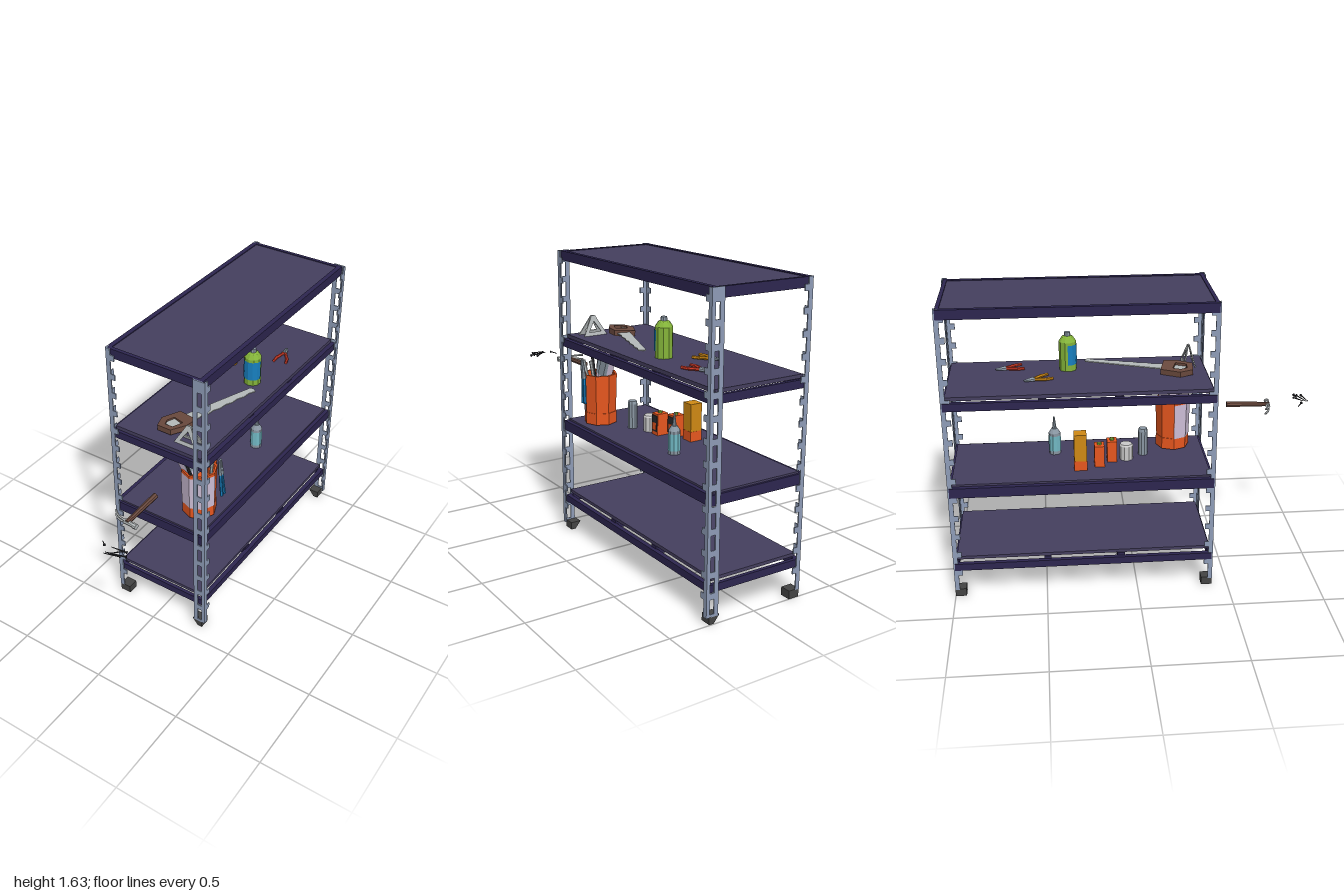
import * as THREE from 'three';

const mat = (color) => new THREE.MeshStandardMaterial({ color, flatShading: true, side: THREE.DoubleSide });
const M = {
  board: mat(0x453f5f), beam: mat(0x2d2650), post: mat(0x8f9db8), foot: mat(0x444444), steel: mat(0xb5babb),
  dark: mat(0x2a2a2e), wood: mat(0x6b4a3e), orange: mat(0xe8571f), amber: mat(0xd08a14), lilac: mat(0xcfc0d8),
  blue: mat(0x1880c0), green: mat(0x85b53a), grey: mat(0x8a97a3), white: mat(0xd5d8d8), teal: mat(0x72b9c4), red: mat(0xd03a26),
};

export function createModel() {
  const root = new THREE.Group();
  const add = (name, geo, m, x = 0, y = 0, z = 0, parent = root) => {
    const mesh = new THREE.Mesh(geo, m);
    mesh.name = name;
    mesh.position.set(x, y, z);
    parent.add(mesh);
    return mesh;
  };
  const group = (name, x = 0, y = 0, z = 0) => {
    const g = new THREE.Group();
    g.name = name;
    g.position.set(x, y, z);
    root.add(g);
    return g;
  };
  // Box given by its min and max corners
  const span = (name, m, x0, x1, y0, y1, z0, z1, parent = root) =>
    add(name, new THREE.BoxGeometry(x1 - x0, y1 - y0, z1 - z0), m, (x0 + x1) / 2, (y0 + y1) / 2, (z0 + z1) / 2, parent);
  const lathe = (pts, n = 10) => new THREE.LatheGeometry(pts.map((p) => new THREE.Vector2(...p)), n);
  const poly = (pts) => new THREE.Shape(pts.map((p) => new THREE.Vector2(...p)));
  const extrude = (shape, depth) => new THREE.ExtrudeGeometry(shape, { depth, bevelEnabled: false });
  // Thin rod between two points
  const rod = (name, m, a, b, r0, r1, parent = root, sides = 6) => {
    const p = new THREE.Vector3(...a), q = new THREE.Vector3(...b);
    const mesh = add(name, new THREE.CylinderGeometry(r1, r0, p.distanceTo(q), sides), m, 0, 0, 0, parent);
    mesh.position.copy(p).lerp(q, 0.5);
    mesh.quaternion.setFromUnitVectors(new THREE.Vector3(0, 1, 0), q.sub(p).normalize());
    return mesh;
  };

  // Slotted angle posts: s is the direction from the outer corner inward
  const Y0 = 0.04, Y1 = 1.63, slots = 14, pitch = 0.11, slotH = 0.078;
  const closedPlate = (s) => {
    const shape = poly([[0, Y0], [s * 0.07, Y0], [s * 0.07, Y1], [0, Y1]]);
    for (let i = 0; i < slots; i++) {
      const y = 0.055 + i * pitch;
      shape.holes.push(poly([[s * 0.02, y], [s * 0.02, y + slotH], [s * 0.045, y + slotH], [s * 0.045, y]]));
    }
    return extrude(shape, 0.006);
  };
  const combPlate = (s) => {
    const pts = [[0, Y0], [s * 0.025, Y0]];
    for (let i = 0; i < slots; i++) {
      const y = 0.055 + i * pitch;
      pts.push([s * 0.025, y + slotH], [s * 0.048, y + slotH], [s * 0.048, y + pitch], [s * 0.025, y + pitch]);
    }
    pts.push([s * 0.025, Y1], [0, Y1]);
    return extrude(poly(pts), 0.006);
  };
  const zF = 0.415, zB = -1.0;
  for (const sx of [-1, 1]) for (const front of [true, false]) {
    const post = group('post');
    const z = front ? zF : zB, s = front ? -1 : 1;
    add('endPlate', sx > 0 ? closedPlate(-1) : combPlate(1), M.post, sx * 0.29, 0, front ? z - 0.006 : z, post);
    add('sidePlate', combPlate(s).rotateY(-Math.PI / 2), M.post, sx > 0 ? 0.29 : -0.284, 0, z, post);
    // Rubber foot, chamfered under the left posts
    const prof = sx > 0 ? [[0.212, 0.045], [0.272, 0.045], [0.272, 0.003], [0.245, 0.003]]
      : [[-0.287, 0.045], [-0.225, 0.045], [-0.225, 0], [-0.287, 0]];
    add('foot', extrude(poly(prof), 0.06), M.foot, 0, 0, front ? zF - 0.06 : zB, post);
  }

  // Shelves: rails, cross bars and board
  const levels = [[0.165, 0.205, 0.22, 0.238], [0.605, 0.66, 0.652, 0.67], [1.095, 1.138, 1.142, 1.162], [1.577, 1.628, 1.606, 1.624]];
  for (const [b0, b1, t0, t1] of levels) {
    const shelf = group('shelf');
    const x0 = -0.295, x1 = 0.273, z0 = -0.992, z1 = 0.408;
    span('sideRail', M.beam, x0, x0 + 0.026, b0, b1, z0, z1, shelf);
    span('sideRail', M.beam, x1 - 0.026, x1, b0, b1, z0, z1, shelf);
    span('endRail', M.beam, x0, x1, b0, b1, z0, z0 + 0.02, shelf);
    span('endRail', M.beam, x0, x1, b0, b1, z1 - 0.02, z1, shelf);
    for (const z of [-0.49, -0.09]) span('crossBar', M.beam, x0 + 0.02, x1 - 0.02, b0 + 0.008, t0, z - 0.02, z + 0.02, shelf);
    span('board', M.board, -0.268, 0.25, t0, t1, -0.98, 0.395, shelf);
  }

  // Green bottle with wrapped label and cap
  const bottle = group('bottle', 0.1, 1.162, -0.345);
  add('bottleBody', lathe([[0, 0], [0.047, 0], [0.047, 0.16], [0.03, 0.185], [0.02, 0.19], [0, 0.19]]), M.green, 0, 0, 0, bottle);
  add('bottleCap', new THREE.CylinderGeometry(0.016, 0.018, 0.02, 8), M.grey, 0, 0.2, 0, bottle);
  add('bottleLabel', new THREE.CylinderGeometry(0.049, 0.049, 0.11, 6, 1, true, -Math.PI / 2, Math.PI), M.blue, 0, 0.09, 0, bottle);

  // Hand saw lying on the third shelf
  const saw = group('saw', 0, 1.185, 0.22);
  saw.rotation.y = -0.33;
  const blade = [[-0.035, -0.06], [0.045, -0.06]];
  for (let i = 0; i <= 12; i++) blade.push([0.045 - i * 0.0015 - (i % 2) * 0.008, 0.0 + i * 0.041]);
  blade.push([0.0, 0.5], [-0.015, 0.49]);
  add('sawBlade', extrude(poly(blade), 0.006).rotateX(-Math.PI / 2), M.steel, 0, -0.003, 0, saw);
  const grip = poly([[-0.06, 0.06], [0.06, 0.07], [0.075, 0.0], [0.055, -0.09], [-0.03, -0.11], [-0.075, -0.05]]);
  grip.holes.push(poly([[-0.03, 0.0], [-0.035, -0.045], [-0.01, -0.075], [0.035, -0.06], [0.04, 0.0]]));
  const sawHandle = add('sawHandle', extrude(grip, 0.03).rotateX(-Math.PI / 2), M.wood, 0, -0.016, 0, saw);
  sawHandle.rotation.z = 0.08;

  // Folding triangle square, standing as a tent
  for (const s of [-1, 1]) {
    const tri = poly([[-0.072, 0], [0.072, 0], [0.012, 0.11], [-0.012, 0.11]]);
    tri.holes.push(poly([[-0.038, 0.02], [0, 0.08], [0.038, 0.02]]));
    const plate = add('triangleSquare', extrude(tri, 0.006), M.steel, 0.132, 1.162, 0.312 + s * 0.03);
    plate.rotation.x = -s * 0.25;
  }

  // Pliers lying flat
  const pliers = (m, x, y, z, turn) => {
    const g = group('pliers', x, y, z);
    g.rotation.y = turn;
    for (const s of [-1, 1]) {
      rod('pliersHandle', m, [s * 0.035, 0, 0.075], [s * 0.03, 0, 0.035], 0.008, 0.009, g);
      rod('pliersHandle', m, [s * 0.03, 0, 0.035], [s * 0.006, 0, -0.02], 0.009, 0.008, g);
      rod('pliersJaw', M.grey, [s * 0.006, 0, -0.02], [s * 0.004, 0, -0.075], 0.012, 0.004, g);
    }
  };
  pliers(M.amber, -0.06, 1.172, -0.51, 0.4);
  pliers(M.red, 0.115, 1.172, -0.66, 0.25);

  // Tool bucket with wrapped panel
  const bucket = group('toolBucket', 0.137, 0.67, 0.233);
  add('bucketBody', lathe([[0, 0.01], [0.092, 0.01], [0.092, 0.075], [0.089, 0.075], [0.096, 0.29], [0.085, 0.29], [0.08, 0.2], [0, 0.2]], 8), M.orange, 0, 0, 0, bucket);
  add('bucketPanel', new THREE.CylinderGeometry(0.098, 0.094, 0.2, 4, 1, true, -Math.PI / 2, Math.PI), M.lilac, 0, 0.175, 0, bucket);
  // Gloves and tools in the bucket
  [[-0.055, 0.05, 0.25], [-0.03, 0, 0.2], [-0.01, -0.06, 0.1]].forEach(([x, z, tilt], i) => {
    const cuff = add('glove', new THREE.BoxGeometry(0.055, 0.15, 0.05), M.lilac, x, 0.335, z, bucket);
    cuff.rotation.set(0.25 * (1 - i), 0, tilt);
    const inset = add('gloveStrap', new THREE.BoxGeometry(0.02, 0.11, 0.054), M.grey, x + 0.02, 0.34, z, bucket);
    inset.rotation.copy(cuff.rotation);
  });
  rod('screwdriver', M.dark, [0, 0.24, 0.06], [-0.01, 0.36, 0.1], 0.01, 0.008, bucket);
  rod('chisel', M.steel, [0.05, 0.22, 0.03], [0.07, 0.36, 0.06], 0.008, 0.01, bucket);
  rod('wrench', M.steel, [0.05, 0.22, -0.03], [0.07, 0.37, -0.02], 0.008, 0.01, bucket);
  // Blue pliers hooked over the rim
  for (const s of [-1, 1]) {
    rod('hookedPliersHandle', M.blue, [0.125, 0.14, -0.035 + s * 0.012], [0.118, 0.28, -0.025 + s * 0.006], 0.009, 0.009, bucket);
    rod('hookedPliersJaw', M.grey, [0.118, 0.28, -0.025 + s * 0.006], [0.12, 0.38, -0.01 + s * 0.006], 0.012, 0.006, bucket);
  }

  // Cans and cartons on the second shelf
  const can = (name, m, x, z, r, h) => add(name, lathe([[0, 0], [r, 0], [r, h * 0.9], [r * 0.85, h], [0, h]]), m, x, 0.67, z);
  can('greyCan', M.grey, 0.035, 0.057, 0.027, 0.155);
  can('whiteJar', M.white, -0.018, -0.04, 0.038, 0.09);
  for (const [x, z] of [[-0.03, -0.12], [-0.085, -0.192]]) {
    span('smallCarton', M.orange, x - 0.033, x + 0.033, 0.67, 0.79, z - 0.027, z + 0.027);
    span('cartonPanel', M.dark, x + 0.033, x + 0.036, 0.69, 0.78, z - 0.026, z + 0.026);
    span('cartonStripe', M.orange, x + 0.035, x + 0.038, 0.70, 0.74, z - 0.015, z + 0.015);
    add('cartonCap', new THREE.CylinderGeometry(0.012, 0.012, 0.01, 8), M.green, x, 0.795, z);
  }
  span('tallCarton', M.amber, -0.155, -0.085, 0.67, 0.877, -0.33, -0.262);
  span('tallCartonBand', M.orange, -0.156, -0.084, 0.671, 0.725, -0.331, -0.261);

  // Teal dropper bottle
  const dropper = group('dropperBottle', 0.09, 0.67, -0.43);
  add('dropperBody', lathe([[0, 0], [0.032, 0], [0.032, 0.125], [0.016, 0.15], [0, 0.15]]), M.grey, 0, 0, 0, dropper);
  add('dropperLabel', new THREE.CylinderGeometry(0.034, 0.034, 0.09, 10, 1, true), M.teal, 0, 0.065, 0, dropper);
  add('dropperNozzle', new THREE.CylinderGeometry(0.004, 0.012, 0.07, 8), M.grey, 0, 0.182, 0, dropper);

  // Claw hammer in front of the rack
  const hammer = group('hammer', 0.065, 0.93, 0.755);
  rod('hammerHandle', M.wood, [0, 0, 0.01], [0, 0.006, -0.23], 0.013, 0.016, hammer, 8);
  rod('hammerHead', M.steel, [-0.02, -0.004, 0], [0.035, -0.004, 0.005], 0.014, 0.012, hammer, 8);
  rod('hammerFace', M.steel, [0.035, -0.004, 0.005], [0.056, -0.004, 0.007], 0.015, 0.015, hammer, 8);
  for (const s of [-1, 1]) {
    const curve = new THREE.QuadraticBezierCurve3(new THREE.Vector3(-0.01, s * 0.006 - 0.004, 0), new THREE.Vector3(-0.06, s * 0.009 - 0.004, 0.008), new THREE.Vector3(-0.097, s * 0.013 - 0.004, -0.03));
    add('hammerClaw', new THREE.TubeGeometry(curve, 6, 0.006, 5), M.steel, 0, 0, 0, hammer);
  }

  // Loose nails
  const nails = [[0.04, 0.925, 0.07, 0.95], [0.1, 0.985, 0.2, 0.955], [0.11, 0.945, 0.19, 0.935], [0.12, 0.975, 0.17, 0.93], [0.1, 0.995, 0.18, 0.975]];
  nails.forEach(([xa, za, xb, zb], i) => {
    const ya = 0.918 + (i % 3) * 0.006, yb = 0.928 - (i % 2) * 0.008;
    rod('nail', M.dark, [xa, ya, za], [xb, yb, zb], 0.002, 0.004);
    rod('nailHead', M.dark, [xb, yb, zb], [xb + (xb - xa) * 0.04, yb, zb + (zb - za) * 0.04], 0.008, 0.008);
  });
  return root;
}
